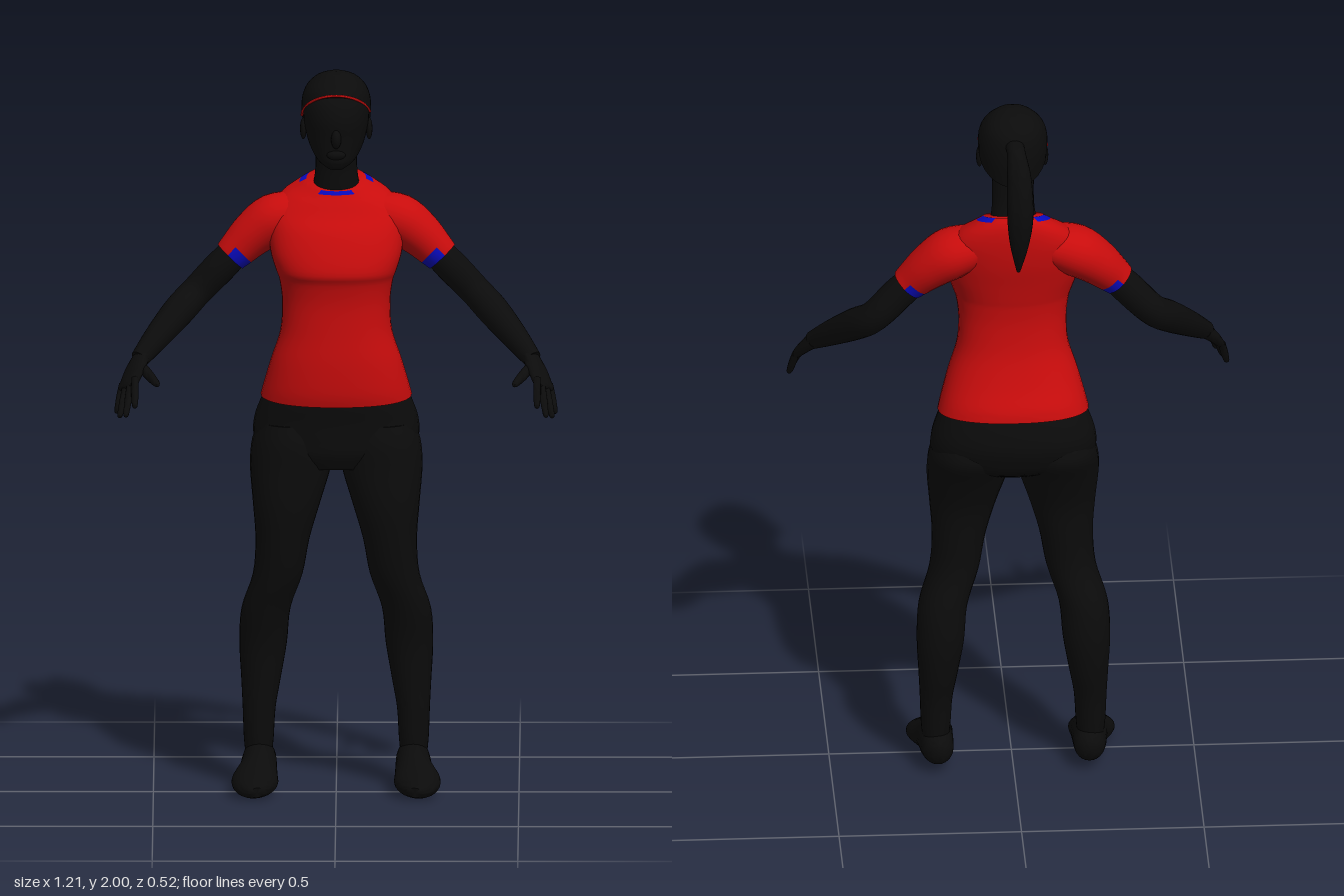
import * as THREE from 'three';
import { toCreasedNormals } from 'three/addons/utils/BufferGeometryUtils.js';

const V = (x, y, z) => new THREE.Vector3(x, y, z);
const mat = (name, color) => {
  const m = new THREE.MeshStandardMaterial({ color });
  m.name = name;
  return m;
};

// Catmull-Rom interpolation of rows of numbers
function smooth(rows, steps = 4) {
  const out = [], n = rows.length - 1;
  for (let i = 0; i < n; i++) {
    const [a, b, c, d] = [rows[Math.max(i - 1, 0)], rows[i], rows[i + 1], rows[Math.min(i + 2, n)]];
    for (let s = 0; s < steps; s++) {
      const t = s / steps;
      out.push(b.map((p, k) => {
        const cubic = 3 * (p - c[k]) + d[k] - a[k];
        const square = 2 * a[k] - 5 * p + 4 * c[k] - d[k];
        return p + 0.5 * t * (c[k] - a[k] + t * (square + t * cubic));
      }));
    }
  }
  out.push(rows[n]);
  return out;
}

// Closed skin over rings; paint(k, angle) picks the material of a face
function skin(rings, paint = () => 0) {
  const n = rings[0].length, last = rings.length - 1;
  const pos = rings.flat().flatMap(p => [p.x, p.y, p.z]);
  const faces = [[], []];
  for (let i = 0; i < last; i++) {
    for (let j = 0; j < n; j++) {
      const a = i * n + j, b = i * n + (j + 1) % n;
      faces[paint((i + 0.5) / last, (j + 0.5) / n * Math.PI * 2)].push(a, b, a + n, b, b + n, a + n);
    }
  }
  for (const i of [0, last]) { // end caps
    const c = rings[i].reduce((s, p) => s.add(p), V(0, 0, 0)).divideScalar(n);
    const ci = pos.push(c.x, c.y, c.z) / 3 - 1;
    for (let j = 0; j < n; j++) {
      const a = i * n + j, b = i * n + (j + 1) % n;
      faces[0].push(...(i ? [a, b, ci] : [b, a, ci]));
    }
  }
  const g = new THREE.BufferGeometry();
  g.setAttribute('position', new THREE.Float32BufferAttribute(pos, 3));
  g.setIndex([...faces[0], ...faces[1]]);
  g.addGroup(0, faces[0].length, 0);
  if (faces[1].length) g.addGroup(faces[0].length, faces[1].length, 1);
  return toCreasedNormals(g, 1.1);
}

// Level sections, bottom to top: [y, centre x, half width, front z, back z, tilt]
function stackRings(rows, n = 32, power = 1) {
  return smooth(rows).map(([y, x, w, zf, zb, tilt]) => Array.from({ length: n }, (_, j) => {
    const a = j / n * Math.PI * 2, c = Math.cos(a), s = -Math.sin(a);
    const dz = (zf - zb) / 2 * Math.sign(s) * Math.abs(s) ** power;
    return V(x + w * Math.sign(c) * Math.abs(c) ** power, y + tilt * dz, (zf + zb) / 2 + dz);
  }));
}

// Sections along a path: [x, y, z, radius along ref, other radius]
function limbRings(rows, ref, n = 20) {
  const pts = smooth(rows);
  return pts.map((p, i) => {
    const q = pts[Math.max(i - 1, 0)], r = pts[Math.min(i + 1, pts.length - 1)];
    const t = V(r[0] - q[0], r[1] - q[1], r[2] - q[2]).normalize();
    const u = ref.clone().addScaledVector(t, -ref.dot(t)).normalize();
    const v = t.clone().cross(u);
    return Array.from({ length: n }, (_, j) => {
      const a = j / n * Math.PI * 2;
      return V(p[0], p[1], p[2]).addScaledVector(u, p[3] * Math.cos(a)).addScaledVector(v, p[4] * Math.sin(a));
    });
  });
}

// Mirror across x and turn the triangles back outward
function mirrored(geo) {
  const g = geo.clone().scale(-1, 1, 1);
  for (const key of ['position', 'normal']) {
    const a = g.attributes[key].array;
    for (let i = 0; i < a.length; i += 9) {
      for (let k = 3; k < 6; k++) [a[i + k], a[i + k + 3]] = [a[i + k + 3], a[i + k]];
    }
  }
  return g;
}

export function createModel() {
  const root = new THREE.Group();
  root.name = 'standingWoman';
  const black = mat('black', 0x0b0b0b), red = mat('red', 0xc80c0c), blue = mat('blue', 0x0a0ac0);
  const add = (name, geo, m) => {
    const mesh = new THREE.Mesh(geo, m);
    mesh.name = name;
    root.add(mesh);
  };
  const pair = (name, geo, m) => {
    add('left' + name, geo, m);
    add('right' + name, mirrored(geo), m);
  };

  // Shirt with patches of blue at the collar
  add('shirt', skin(stackRings([
    [1.095, 0, .207, .05, -.22, -.11], [1.13, 0, .198, .058, -.213, -.08], [1.2, 0, .178, .06, -.185, 0],
    [1.28, 0, .153, .056, -.158, 0], [1.36, 0, .148, .055, -.148, 0], [1.42, 0, .155, .064, -.15, 0],
    [1.45, 0, .165, .075, -.155, 0], [1.5, 0, .18, .062, -.165, 0], [1.56, 0, .185, .035, -.178, 0],
    [1.61, 0, .182, .005, -.185, -.1], [1.65, 0, .15, -.015, -.185, -.2],
    [1.675, 0, .11, -.028, -.178, -.3], [1.69, 0, .082, -.035, -.165, -.35]], 40, .88),
  (k, a) => (k > .94 && Math.sin(3 * a) > .1 ? 1 : 0)), [red, blue]);

  // Sleeves, blue under the cuff
  pair('Sleeve', skin(limbRings([
    [.1, 1.6, -.1, .07, .058], [.17, 1.578, -.1, .08, .07], [.225, 1.54, -.095, .07, .063],
    [.27, 1.497, -.087, .055, .053], [.29, 1.477, -.085, .049, .048]], V(0, 0, 1), 24),
  (k, a) => (k > .78 && Math.sin(a) > -.2 ? 1 : 0)), [red, blue]);

  // Trousers
  add('hips', skin(stackRings([
    [.9, 0, .12, .015, -.13, 0], [.94, 0, .2, .034, -.195, 0], [.98, 0, .226, .036, -.219, 0],
    [1.03, 0, .224, .036, -.23, 0], [1.08, 0, .207, .04, -.217, -.08],
    [1.13, 0, .185, .04, -.195, -.08]], 36, .9)), black);
  pair('Leg', skin(stackRings([
    [.09, .212, .036, -.04, -.13, 0], [.14, .212, .041, -.036, -.135, 0], [.22, .211, .045, -.038, -.143, 0],
    [.3, .206, .054, -.039, -.16, 0], [.4, .2, .065, -.034, -.169, 0], [.5, .192, .067, -.01, -.158, 0],
    [.6, .16, .068, .018, -.13, 0], [.7, .147, .074, .035, -.127, 0], [.8, .136, .092, .045, -.135, 0],
    [.9, .125, .111, .04, -.175, 0], [.97, .12, .11, .036, -.212, 0], [1.02, .12, .09, .02, -.2, 0]], 28, .95)), black);

  // Shoes
  pair('Shoe', skin(limbRings([
    [.207, .07, -.153, .018, .025], [.207, .07, -.13, .04, .044], [.21, .072, -.08, .047, .062],
    [.213, .06, -.01, .052, .054], [.222, .041, .05, .064, .039], [.223, .029, .1, .052, .028],
    [.216, .024, .135, .022, .014]], V(1, 0, 0), 24)), black);

  // Arms, palms, fingers and thumbs
  pair('Arm', skin(limbRings([
    [.24, 1.525, -.09, .038, .038], [.31, 1.455, -.085, .045, .045], [.38, 1.382, -.083, .045, .043],
    [.43, 1.335, -.035, .044, .044], [.49, 1.275, .035, .035, .036], [.537, 1.225, .092, .024, .026]], V(0, 0, 1))), black);
  const across = V(-.04, .02, .045);
  pair('Palm', skin(limbRings([
    [.53, 1.232, .082, .026, .021], [.55, 1.2, .12, .038, .018],
    [.568, 1.163, .16, .038, .014], [.572, 1.155, .168, .03, .008]], across, 16)), black);
  const tips = [[.55, 1.12, .255], [.575, 1.093, .248], [.592, 1.085, .215], [.6, 1.088, .17]];
  tips.forEach((tip, i) => {
    const base = [.55 + .012 * i, 1.177 - .008 * i, .182 - .015 * i];
    const at = (t, r) => [...base.map((b, k) => b + (tip[k] - b) * t), r, r];
    pair('Finger' + (i + 1), skin(limbRings([at(-.15, .01), at(.4, .0105), at(.9, .008), at(1, .003)], across, 10)), black);
  });
  pair('Thumb', skin(limbRings([
    [.535, 1.21, .105, .014, .014], [.512, 1.193, .16, .014, .014],
    [.492, 1.18, .21, .01, .01], [.486, 1.175, .225, .003, .003]], V(0, 1, 0), 10)), black);

  // Neck, head and features
  add('neck', skin(stackRings([
    [1.63, 0, .075, -.045, -.155, 0], [1.68, 0, .063, -.04, -.145, 0],
    [1.73, 0, .057, -.036, -.128, 0], [1.8, 0, .058, -.02, -.12, 0]], 24)), black);
  add('head', skin(stackRings([
    [1.742, 0, .02, .045, 0, 0], [1.76, 0, .047, .058, -.05, 0], [1.79, 0, .068, .058, -.1, 0],
    [1.83, 0, .082, .06, -.135, 0], [1.88, 0, .09, .063, -.15, 0], [1.93, 0, .086, .045, -.145, 0],
    [1.97, 0, .055, .0, -.11, 0]], 32)), black);
  const blob = (x, y, z, sx, sy, sz) =>
    new THREE.SphereGeometry(1, 14, 10).scale(sx, sy, sz).translate(x, y, z).toNonIndexed();
  add('nose', blob(0, 1.83, .062, .014, .026, .022), black);
  add('lips', blob(0, 1.785, .055, .026, .013, .014), black);
  pair('Ear', blob(.09, 1.842, -.04, .009, .03, .02), black);

  // Hair swept back, with a thin red line along its front edge
  const hair = stackRings([
    [1.875, 0, .094, .044, -.158, .72], [1.92, 0, .094, .024, -.166, .45], [1.96, 0, .079, 0, -.155, .2],
    [1.988, 0, .049, -.025, -.115, .1], [2, 0, .012, -.045, -.07, 0]], 32);
  add('hair', skin(hair), black);
  const line = new THREE.CatmullRomCurve3(hair[0].slice(16));
  add('hairline', new THREE.TubeGeometry(line, 48, .0035, 6), red);
  add('ponytail', skin(limbRings([
    [0, 1.925, -.14, .026, .02], [-.004, 1.915, -.185, .026, .022], [-.01, 1.85, -.215, .034, .028],
    [-.012, 1.75, -.229, .036, .031], [-.01, 1.66, -.222, .026, .023], [-.008, 1.57, -.206, .005, .005]],
  V(1, 0, 0), 18)), black);

  return root;
}
